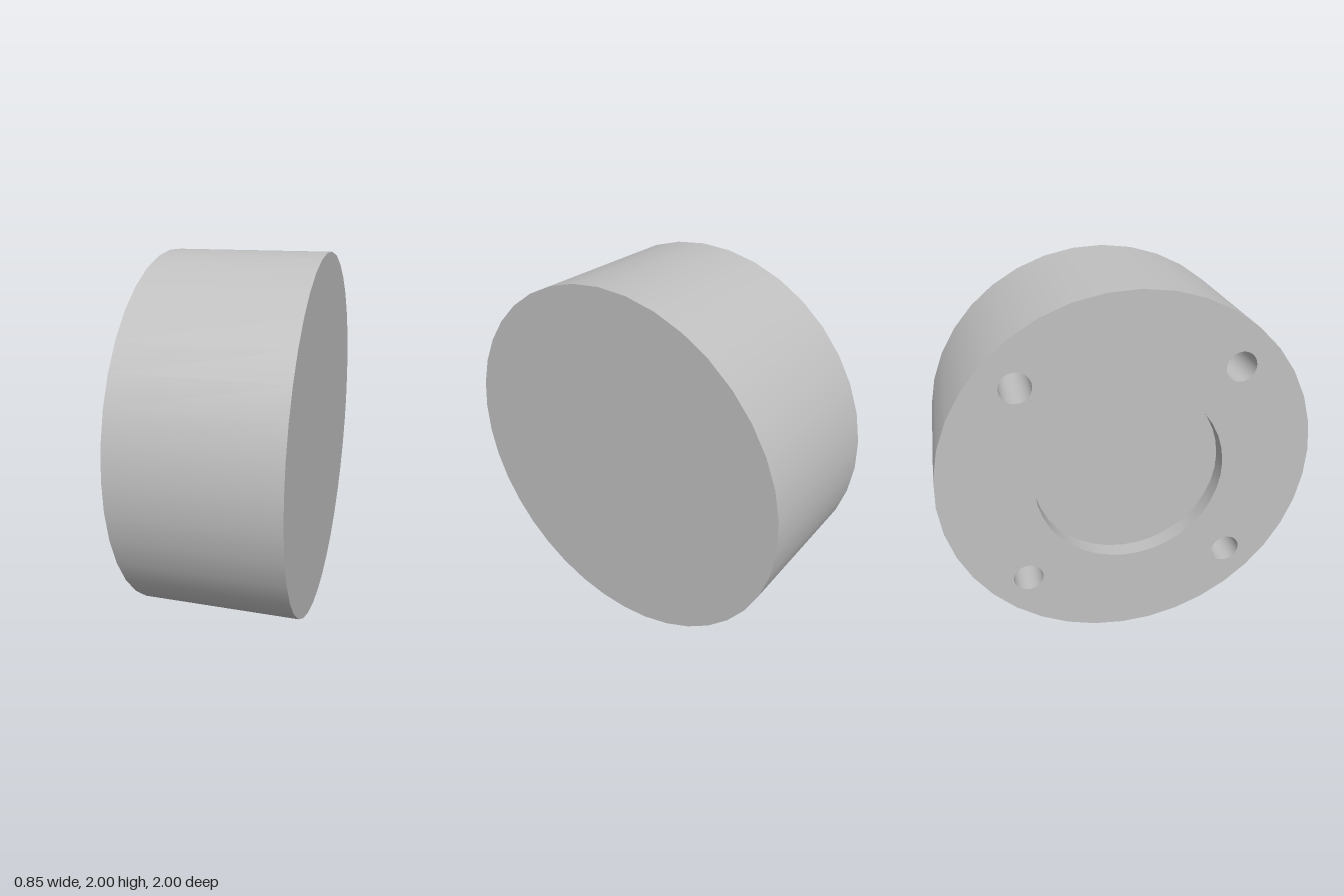
import * as THREE from 'three';

const HALF = 0.427;      // half thickness
const SEGMENTS = 38;
const START = 0.042;     // angle of the first facet corner
const RECESS = { r: 0.505, depth: 0.09 };
const HOLE = { r: 0.081, depth: 0.4, offset: 0.566 };

export function createModel() {
  const model = new THREE.Group();
  model.name = 'drilledDisc';
  const grey = new THREE.MeshStandardMaterial({ color: 0xc0c0c0 });
  grey.name = 'plain grey';

  // The disc is built along local y, then turned so the drilled side faces -x
  const disc = new THREE.Group();
  disc.name = 'disc';
  disc.rotation.z = Math.PI / 2;
  disc.position.y = 1;
  model.add(disc);

  const add = (name, geometry, x = 0, z = 0) => {
    const mesh = new THREE.Mesh(geometry, grey);
    mesh.name = name;
    mesh.position.set(x, 0, z);
    disc.add(mesh);
  };

  // Each surface is its own two-point lathe, which keeps the rims sharp
  const lathe = (r0, y0, r1, y1, segments = SEGMENTS) => new THREE.LatheGeometry(
    [new THREE.Vector2(r0, y0), new THREE.Vector2(r1, y1)], segments, START);

  // Corner points of a circle, matching the lathe facets
  const ring = (r, segments = SEGMENTS, x = 0, y = 0) => Array.from({ length: segments }, (_, i) => {
    const a = START - Math.PI / 2 + (i / segments) * Math.PI * 2;
    return new THREE.Vector2(x + r * Math.cos(a), y + r * Math.sin(a));
  });

  // Outer rim and the plain face
  add('outerRim', lathe(1, -HALF, 1, HALF));
  add('plainFace', lathe(0, -HALF, 1, -HALF));

  // Central recess
  const floor = HALF - RECESS.depth;
  add('recessWall', lathe(RECESS.r, HALF, RECESS.r, floor));
  add('recessFloor', lathe(RECESS.r, floor, 0, floor));

  // Drilled face, with four blind bolt holes
  const face = new THREE.Shape(ring(1));
  face.holes.push(new THREE.Path(ring(RECESS.r)));
  const bottom = HALF - HOLE.depth;
  for (const sx of [-1, 1]) {
    for (const sz of [-1, 1]) {
      const x = sx * HOLE.offset, z = sz * HOLE.offset;
      face.holes.push(new THREE.Path(ring(HOLE.r, 24, x, -z)));
      add('boltHoleWall', lathe(HOLE.r, HALF, HOLE.r, bottom, 24), x, z);
      add('boltHoleFloor', lathe(HOLE.r, bottom, 0, bottom, 24), x, z);
    }
  }
  add('drilledFace', new THREE.ShapeGeometry(face).rotateX(-Math.PI / 2).translate(0, HALF, 0));

  return model;
}
